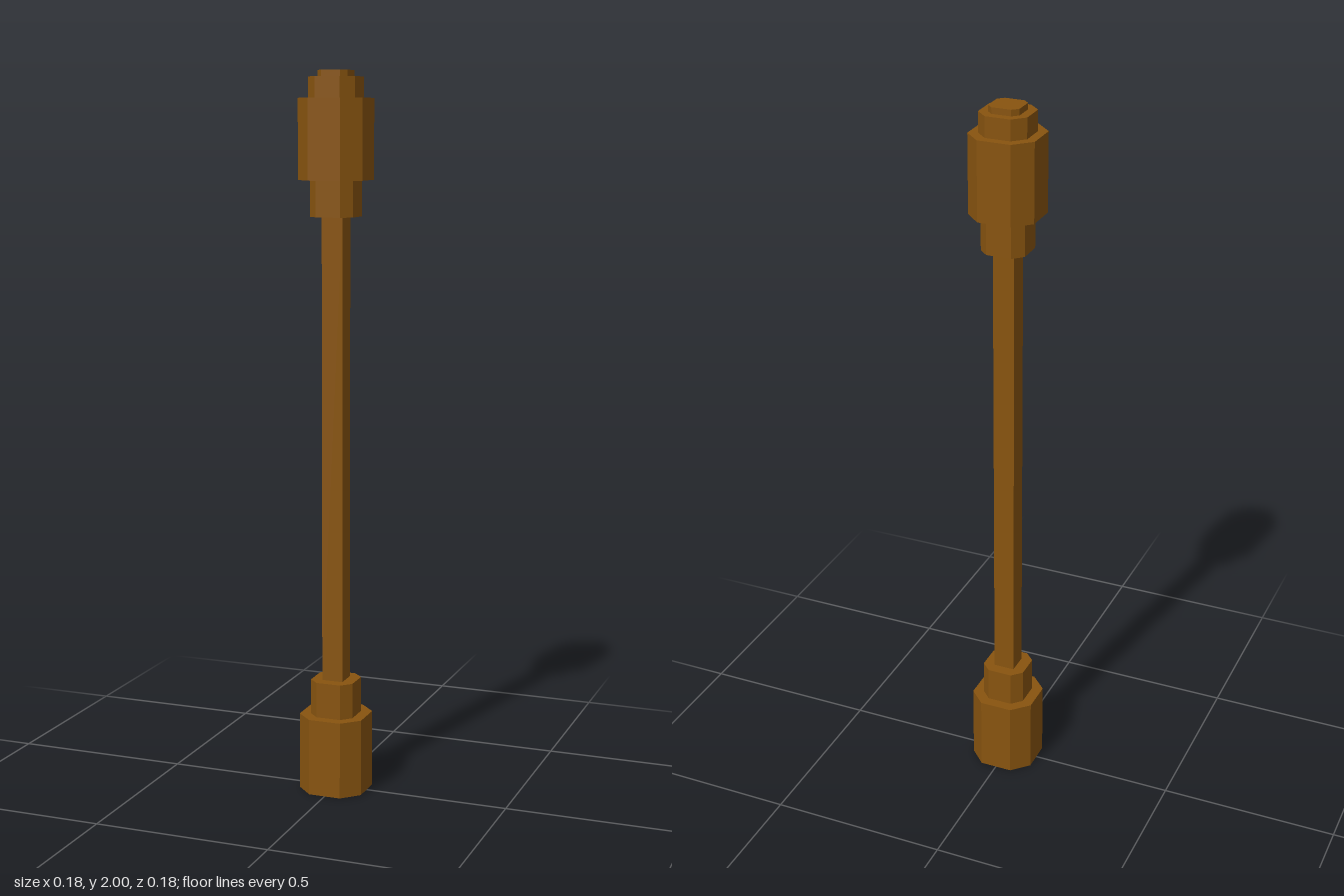
import * as THREE from 'three';

const material = new THREE.MeshStandardMaterial({
  color: 0x88540f, flatShading: true, side: THREE.DoubleSide,
});

// Square prism with chamfered corners: half = half width, flat = half length of the straight sides
function chamferedBlock(name, half, flat, y0, y1, openBottom = false) {
  const sides = 8;
  const geo = new THREE.CylinderGeometry(1, 1, y1 - y0, sides);
  geo.rotateY(Math.PI / sides);
  const pos = geo.attributes.position;
  for (let i = 0; i < pos.count; i++) {
    const x = pos.getX(i), z = pos.getZ(i);
    if (Math.hypot(x, z) < 0.5) continue; // cap centres stay put
    const alongX = Math.abs(x) > Math.abs(z);
    pos.setX(i, Math.sign(x) * (alongX ? half : flat));
    pos.setZ(i, Math.sign(z) * (alongX ? flat : half));
  }
  if (openBottom) {
    // the bottom cap is the last ring of triangles
    const index = Array.from(geo.index.array);
    geo.setIndex(index.slice(0, index.length - sides * 3));
    geo.clearGroups();
  }
  geo.translate(0, (y0 + y1) / 2, 0);
  geo.computeVertexNormals();
  const mesh = new THREE.Mesh(geo, material);
  mesh.name = name;
  return mesh;
}

export function createModel() {
  const post = new THREE.Group();
  post.name = 'post';

  // Foot, hollow underneath, and its collar
  post.add(chamferedBlock('base', 0.092, 0.046, 0, 0.218, true));
  post.add(chamferedBlock('lowerCollar', 0.062, 0.035, 0.218, 0.318));

  // Slim square shaft
  const shaft = new THREE.Mesh(new THREE.BoxGeometry(0.06, 1.294, 0.06), material);
  shaft.name = 'shaft';
  shaft.position.y = 0.965;
  post.add(shaft);

  // Head with stepped cap
  post.add(chamferedBlock('upperCollar', 0.062, 0.035, 1.612, 1.71));
  post.add(chamferedBlock('head', 0.092, 0.046, 1.71, 1.927));
  post.add(chamferedBlock('capStep', 0.067, 0.035, 1.927, 1.983));
  post.add(chamferedBlock('capTop', 0.043, 0.027, 1.983, 2));

  return post;
}
